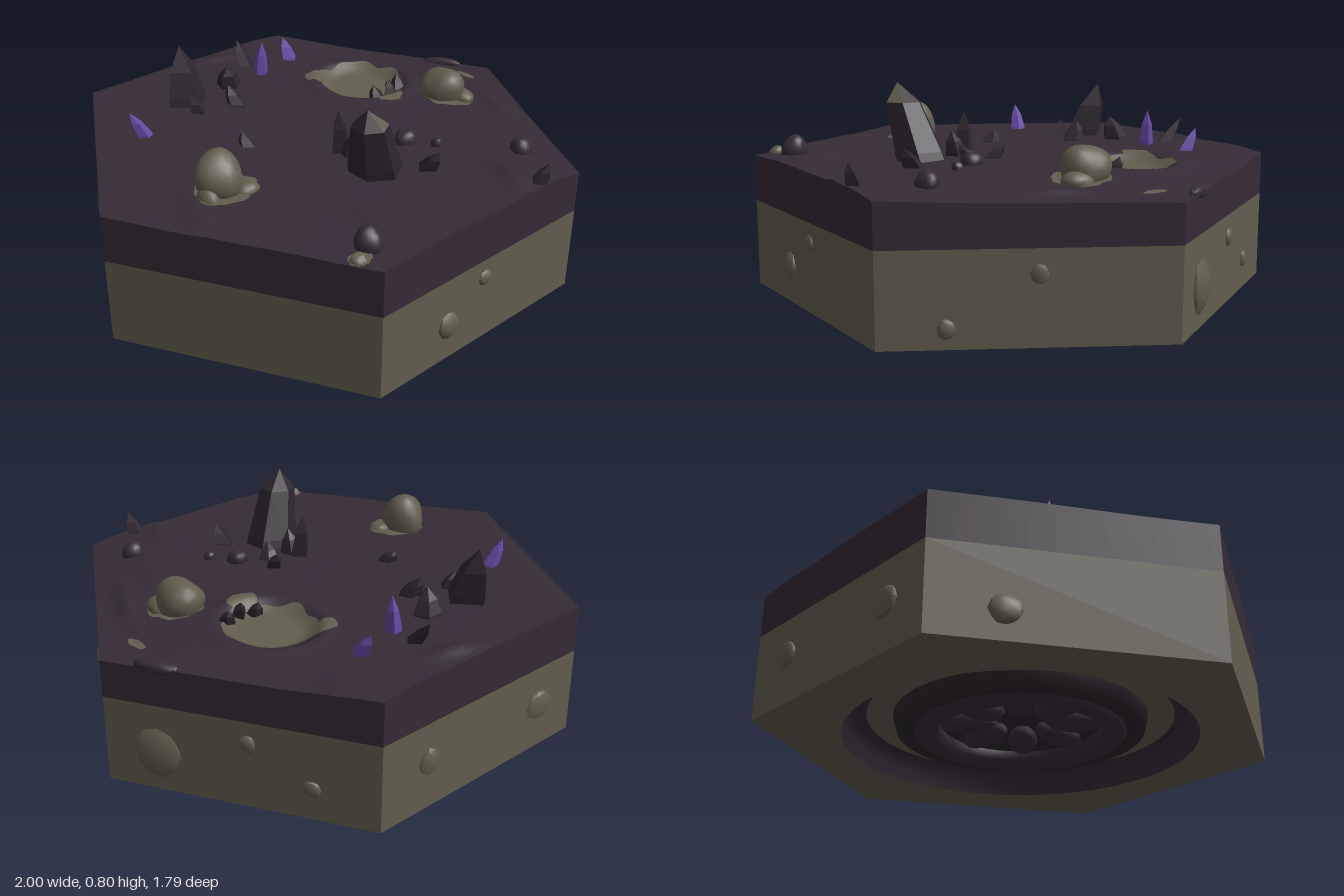
import * as THREE from 'three';
import { toCreasedNormals } from 'three/addons/utils/BufferGeometryUtils.js';

const material = (name, color, side = THREE.FrontSide) => {
  const m = new THREE.MeshStandardMaterial({ color, side });
  m.name = name;
  return m;
};

const { sin, cos, PI } = Math;
const smooth = THREE.MathUtils.smoothstep;
const CORNERS = [[1, 0], [0.5, 0.872], [-0.5, 0.872], [-1, 0], [-0.5, -0.872], [0.5, -0.872]];
const SEAM = 0.335;

// Point on the hexagon's outline, t from 0 to 1
function hexEdge(t) {
  const s = (t % 1) * 6, i = Math.floor(s), f = s - i;
  const a = CORNERS[i], b = CORNERS[(i + 1) % 6];
  return [a[0] + (b[0] - a[0]) * f, a[1] + (b[1] - a[1]) * f];
}

// Ground height: gentle waves, a low right corner, shallow ridges and a crater
const RIDGES = [[-0.74, 0.2, 0.13, 1.9], [-0.3, 0.66, 0.15, 1.4], [0.25, 0.76, 0.12, 1.9], [0.7, 0.3, 0.14, 2.0],
  [0.1, -0.8, 0.12, 0.3]];
function ground(x, z) {
  let y = 0.516 + 0.005 * sin(x * 7 + z * 3) * cos(z * 6 - x * 2);
  y -= 0.038 * smooth(x + 0.3 * Math.abs(z), 0.55, 0.95);
  for (const [rx, rz, len, a] of RIDGES) {
    const u = (x - rx) * cos(a) + (z - rz) * sin(a), v = (z - rz) * cos(a) - (x - rx) * sin(a);
    y += 0.02 * Math.exp(-((u / len) ** 2) - (v / 0.035) ** 2);
  }
  const d = Math.hypot((x - 0.43) / 0.2, (z + 0.22) / 0.22);
  return y + 0.008 * Math.exp(-(((d - 1) / 0.15) ** 2)) - 0.04 * (1 - smooth(d, 0.55, 0.98));
}

// Rings of points from a centre to an outline, with an optional vertical skirt
function sheet(cx, cz, edge, lift, rings, segs, skirtY) {
  const pos = [], index = [], rows = rings + (skirtY === undefined ? 0 : 1);
  for (let i = 0; i <= rows; i++) {
    for (let j = 0; j < segs; j++) {
      const [ex, ez] = edge(j / segs), k = Math.min(i / rings, 1);
      const x = cx + ex * k, z = cz + ez * k;
      pos.push(x, i > rings ? skirtY : ground(x, z) + lift, z);
      if (i === rows) continue;
      const a = i * segs + j, d = i * segs + (j + 1) % segs, b = a + segs, c = d + segs;
      if (i > 0) index.push(a, d, c);
      index.push(a, c, b);
    }
  }
  const g = new THREE.BufferGeometry();
  g.setAttribute('position', new THREE.Float32BufferAttribute(pos, 3));
  g.setIndex(index);
  return toCreasedNormals(g, 0.8);
}

// Worn boulder
function rockGeometry(rx, ry, rz, seed, detail = 3) {
  const g = new THREE.IcosahedronGeometry(1, detail), p = g.attributes.position;
  const v = new THREE.Vector3();
  for (let i = 0; i < p.count; i++) {
    v.fromBufferAttribute(p, i);
    const k = 1 + 0.06 * sin(v.x * 3 + seed * 2.3) + 0.05 * sin(v.y * 3 + v.z * 3 + seed) + 0.03 * cos(v.z * 5 - seed);
    p.setXYZ(i, v.x * k * rx, v.y * k * ry, v.z * k * rz);
  }
  return toCreasedNormals(g, 0.6);
}

// Faceted crystal that leans towards its tip
function crystalGeometry(r, h, lx, lz, sides = 5, shoulder = 0.6) {
  const profile = [[1, -0.1], [0.96, 0.15], [0.68, shoulder], [0, 1]];
  let g = new THREE.LatheGeometry(profile.map(([a, b]) => new THREE.Vector2(a * r, b * h)), sides);
  const p = g.attributes.position;
  for (let i = 0; i < p.count; i++) {
    const t = p.getY(i) / h;
    p.setX(i, p.getX(i) + lx * t);
    p.setZ(i, p.getZ(i) + lz * t);
  }
  g = g.toNonIndexed();
  g.computeVertexNormals();
  return g;
}

export function createModel() {
  const root = new THREE.Group();
  const stone = material('stone', 0x625d4e);
  const soil = material('dark soil', 0x352b36);
  const shade = material('dark crystal', 0x2c252d);
  const violet = material('violet crystal', 0x664aa6);
  const soilPlate = material('recess soil', 0x352b36, THREE.DoubleSide);

  const add = (name, geometry, mat, x = 0, y = 0, z = 0, ry = 0) => {
    const m = new THREE.Mesh(geometry, mat);
    m.name = name;
    m.position.set(x, y, z);
    m.rotation.y = ry;
    root.add(m);
  };

  // Stone base with a round opening underneath
  const hex = new THREE.Shape(CORNERS.map(([x, z]) => new THREE.Vector2(x, -z)).reverse());
  hex.holes.push(new THREE.Path().absarc(0, 0, 0.68, 0, PI * 2));
  const base = new THREE.ExtrudeGeometry(hex, { depth: SEAM, bevelEnabled: false, curveSegments: 32 });
  add('stoneBase', base.rotateX(-PI / 2), stone);

  // Soil cap
  add('soilCap', sheet(0, 0, hexEdge, 0, 56, 180, SEAM), soil);

  // Stepped rings in the underside, listed from the centre outwards
  const ring = (name, mat, pts) =>
    add(name, new THREE.LatheGeometry(pts.map((p) => new THREE.Vector2(...p)), 64), mat);
  ring('recessCentre', shade, [[0, 0.11], [0.22, 0.11], [0.33, 0.06]]);
  ring('recessInnerBand', shade, [[0.32, 0.05], [0.42, 0.03], [0.475, 0.035], [0.49, 0.09]]);
  ring('recessStoneBand', stone, [[0.49, 0.09], [0.52, 0.085], [0.59, 0.085]]);
  ring('recessOuterWall', soilPlate, [[0.59, 0.085], [0.615, 0.1], [0.64, 0.09], [0.665, 0.05], [0.68, 0]]);
  add('recessRoundRing', new THREE.TorusGeometry(0.36, 0.055, 12, 64).rotateX(PI / 2), soil, 0, 0.062, 0);
  for (let i = 0; i < 8; i++) {
    const a = (i / 8) * PI * 2;
    const lobe = new THREE.SphereGeometry(1, 12, 8).scale(0.12, 0.045, 0.06);
    add('recessLobe', lobe, soil, cos(a) * 0.21, 0.085, sin(a) * 0.21, -a);
  }

  // Stone floor of the crater and worn stone patches, with ragged outlines
  const ragged = (rx, rz) => (t) => {
    const a = t * PI * 2, k = 1 + 0.05 * sin(a * 5) + 0.04 * sin(a * 9 + 1);
    return [cos(a) * rx * k, sin(a) * rz * k];
  };
  add('craterFloor', sheet(0.435, -0.23, ragged(0.17, 0.18), 0.009, 14, 48), stone);
  const patches = [[0.4, -0.02, 0.06, 0.05], [0.31, -0.37, 0.06, 0.045], [0.6, 0.12, 0.1, 0.11], [-0.57, 0.14, 0.12, 0.1],
    [0.85, 0, 0.018, 0.05], [-0.51, 0.77, 0.045, 0.035]];
  for (const [x, z, rx, rz] of patches) add('stonePatch', sheet(x, z, ragged(rx, rz), 0.006, 5, 32), stone);

  // Boulders on top: x, z, centre y, three radii, turn
  const boulders = [
    [stone, -0.59, 0.115, 0.565, 0.085, 0.1, 0.09], [stone, -0.65, 0.15, 0.51, 0.04, 0.05, 0.05],
    [stone, -0.51, 0.18, 0.51, 0.05, 0.04, 0.05], [stone, 0.59, 0.1, 0.545, 0.09, 0.08, 0.09],
    [stone, 0.64, 0.16, 0.505, 0.05, 0.04, 0.06], [stone, -0.52, 0.77, 0.51, 0.03, 0.03, 0.03],
    [soil, -0.44, 0.73, 0.53, 0.05, 0.055, 0.05], [soil, 0.45, 0.64, 0.52, 0.042, 0.05, 0.045],
    [soil, 0.17, 0.3, 0.525, 0.042, 0.04, 0.042], [soil, 0.24, 0.4, 0.52, 0.025, 0.025, 0.02],
    [soil, 0.885, -0.17, 0.48, 0.025, 0.025, 0.085, PI / 6],
  ];
  boulders.forEach(([mat, x, z, y, rx, ry, rz, turn], i) =>
    add('boulder', rockGeometry(rx, ry, rz, i), mat, x, y, z, turn));

  // Tall crystal with a bare stone facet at its tip
  const tall = crystalGeometry(0.105, 0.3, -0.095, 0.05, 6, 0.76);
  const perSide = 18, facet = 12;
  tall.addGroup(0, facet, 0);
  tall.addGroup(facet, 6, 1);
  tall.addGroup(perSide, tall.attributes.position.count - perSide, 0);
  add('tallCrystal', tall, [shade, stone], -0.06, 0.5, 0.375);

  // Smaller crystals: x, z, radius, height, lean x, lean z
  const shards = [
    [shade, -0.25, -0.54, 0.09, 0.225, 0.02, -0.07], [shade, -0.03, -0.55, 0.055, 0.1, -0.02, 0.02],
    [shade, -0.27, -0.43, 0.035, 0.07, -0.02, -0.02], [shade, -0.11, -0.38, 0.045, 0.08, -0.02, -0.04],
    [shade, 0.15, -0.66, 0.035, 0.1, 0.01, -0.08], [shade, -0.29, -0.08, 0.04, 0.05, -0.01, -0.03],
    [shade, -0.06, 0.19, 0.045, 0.17, -0.01, -0.01], [shade, -0.05, 0.23, 0.045, 0.1, 0, 0.02],
    [shade, 0.1, 0.16, 0.04, 0.07, 0.02, -0.04], [shade, 0.07, 0.23, 0.04, 0.06, -0.03, 0.04],
    [shade, 0.09, 0.49, 0.045, 0.08, 0.01, 0.05], [shade, 0.39, -0.075, 0.035, 0.06, 0, -0.03],
    [shade, 0.45, -0.06, 0.035, 0.07, 0.01, -0.03], [shade, 0.52, -0.08, 0.035, 0.06, 0.01, -0.03],
    [soil, 0.31, 0.835, 0.035, 0.085, 0.01, 0.03],
    [violet, -0.55, -0.4, 0.034, 0.11, -0.05, -0.02], [violet, 0.35, -0.6, 0.036, 0.09, 0, -0.05],
    [violet, 0.15, -0.56, 0.032, 0.145, 0.01, 0],
  ];
  shards.forEach(([mat, x, z, r, h, lx, lz], i) =>
    add('smallCrystal', crystalGeometry(r, h, lx, lz, 4 + (i % 2)), mat, x, ground(x, z) - 0.005, z));

  // Pebbles set into the sides: side index, position along it, height, radius
  const pebbles = [[0, 0.47, 0.25, 0.034], [0, 0.77, 0.07, 0.034], [1, 0.5, 0.26, 0.03], [1, 0.68, 0.14, 0.05],
    [3, 0.74, 0.11, 0.055], [4, 0.2, 0.18, 0.06], [4, 0.78, 0.19, 0.05],
    [5, 0.24, 0.12, 0.033], [5, 0.47, 0.25, 0.033], [5, 0.8, 0.145, 0.092]];
  pebbles.forEach(([side, f, y, r], i) => {
    const [x, z] = hexEdge((side + f) / 6);
    add('sidePebble', rockGeometry(r, r, Math.min(r * 0.45, 0.026), i + 3, 1), stone, x, y, z, PI / 3 - side * PI / 3);
  });

  return root;
}
